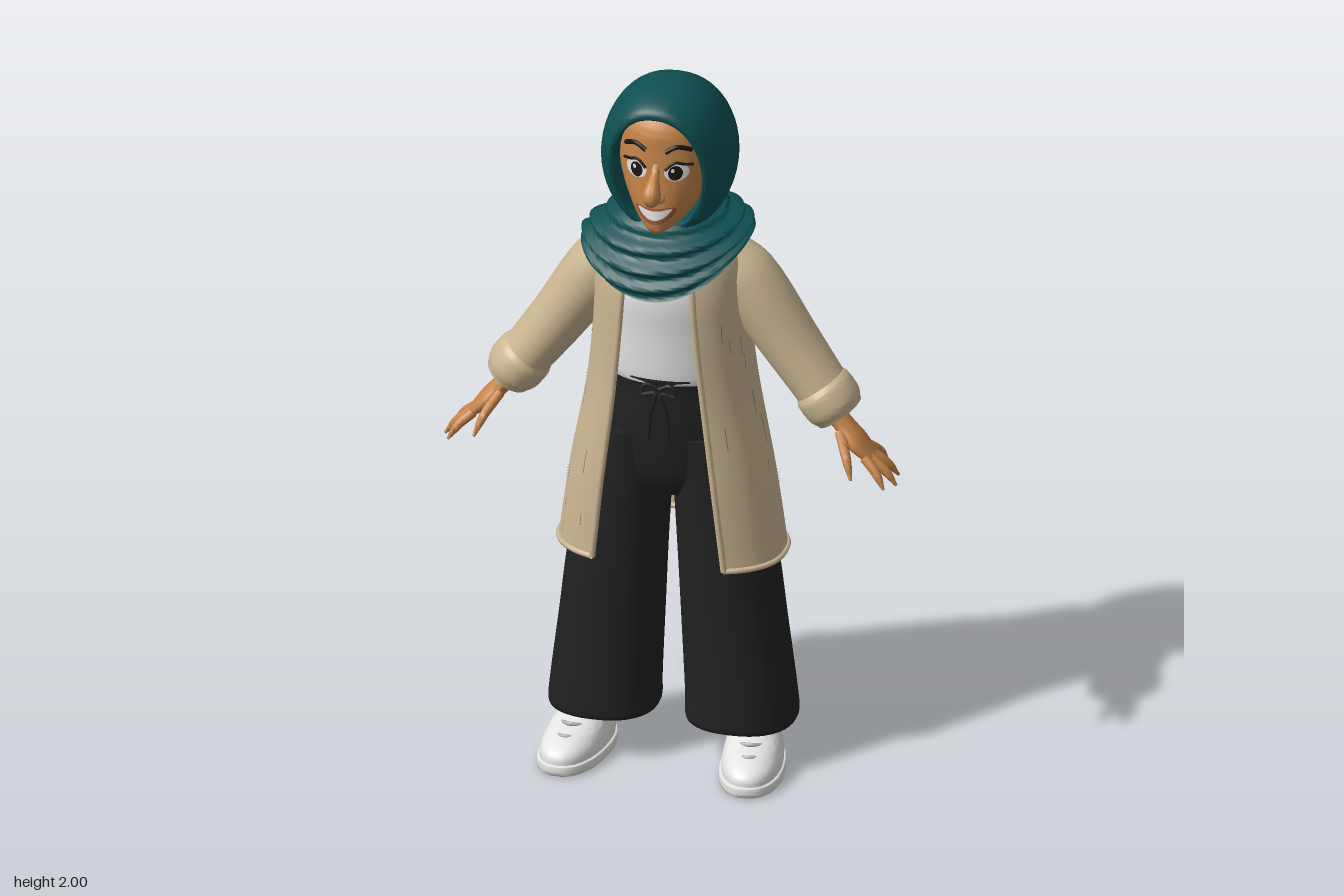
import * as THREE from 'three';
import { toCreasedNormals, mergeGeometries } from 'three/addons/utils/BufferGeometryUtils.js';

const V = (x, y, z) => new THREE.Vector3(x, y, z);
const mat = (name, color, side = THREE.FrontSide) => {
  const m = new THREE.MeshStandardMaterial({ color, side });
  m.name = name;
  return m;
};

// Skin a list of rings, ordered bottom to top.
function loft(rings, { closed = true, cap = true, crease = 0.9 } = {}) {
  const n = rings[0].length, pos = [], idx = [];
  rings.forEach(r => r.forEach(p => pos.push(p.x, p.y, p.z)));
  for (let i = 0; i < rings.length - 1; i++)
    for (let j = 0; j < (closed ? n : n - 1); j++) {
      const a = i * n + j, b = i * n + (j + 1) % n;
      idx.push(a, b, a + n, b, b + n, a + n);
    }
  if (closed && cap) [0, rings.length - 1].forEach((i, top) => {
    const c = rings[i].reduce((s, p) => s.add(p), V(0, 0, 0)).divideScalar(n);
    const k = pos.length / 3;
    pos.push(c.x, c.y, c.z);
    for (let j = 0; j < n; j++) {
      const a = i * n + j, b = i * n + (j + 1) % n;
      top ? idx.push(k, a, b) : idx.push(k, b, a);
    }
  });
  const g = new THREE.BufferGeometry();
  g.setAttribute('position', new THREE.Float32BufferAttribute(pos, 3));
  g.setIndex(idx);
  return toCreasedNormals(g, crease);
}

// Smoothly resample the rows of a small profile table.
function dense(table, steps = 5) {
  const out = [];
  for (let i = 0; i < table.length - 1; i++) {
    const [p, q, r, s] = [-1, 0, 1, 2].map(k => table[Math.min(Math.max(i + k, 0), table.length - 1)]);
    for (let k = 0; k < steps; k++) {
      const t = k / steps;
      out.push(q.map((_, c) => q[c] + 0.5 * t * (r[c] - p[c] + t * (2 * p[c] - 5 * q[c] + 4 * r[c] - s[c]
        + t * (3 * (q[c] - r[c]) + s[c] - p[c])))));
    }
  }
  return [...out, table[table.length - 1]];
}
// Row of a table at height y (first column).
function rowAt(table, y) {
  let i = 0;
  while (i < table.length - 2 && table[i + 1][0] < y) i++;
  const t = THREE.MathUtils.clamp((y - table[i][0]) / (table[i + 1][0] - table[i][0]), 0, 1);
  return table[i].map((v, c) => v + (table[i + 1][c] - v) * t);
}

const pw = (v, e) => Math.sign(v) * Math.abs(v) ** e;
const oval = (a, y, cx, cz, rx, rz, e = 1) => V(cx + rx * pw(Math.sin(a), e), y, cz + rz * pw(Math.cos(a), e));
const loop = (n, f) => Array.from({ length: n }, (_, j) => f(j / n * Math.PI * 2));
// Rows: y, centre x, centre z, half width, half depth
const body = (table, e = 1, n = 40) => loft(dense(table).map(r => loop(n, a => oval(a, ...r, e))));

// Tapered limb along points; radii rows are [along z, across].
function sweep(points, radii, n = 16, steps = 5) {
  const curve = new THREE.CatmullRomCurve3(points), table = dense(radii, steps);
  return loft(table.map(([rs, rn], i) => {
    const u = i / (table.length - 1), c = curve.getPoint(u), t = curve.getTangent(u);
    const across = t.clone().cross(V(0, 0, 1)).normalize(), side = across.clone().cross(t);
    return loop(n, a => c.clone().addScaledVector(side, rs * Math.cos(a)).addScaledVector(across, rn * Math.sin(a)));
  }));
}
const tube = (pts, r) => new THREE.TubeGeometry(new THREE.CatmullRomCurve3(pts), 24, r, 8);

// Face rows: y, half width, front z
const FACE = dense([[1.6, 0.012, 0.12], [1.61, 0.04, 0.158], [1.64, 0.072, 0.168], [1.69, 0.1, 0.163],
  [1.76, 0.122, 0.155], [1.84, 0.126, 0.15], [1.9, 0.115, 0.142], [1.96, 0.06, 0.1]], 6);
const FACE_Z = 0.03;
const faceZ = (x, y) => {
  const [, w, f] = rowAt(FACE, y);
  return FACE_Z + (f - FACE_Z) * Math.sqrt(Math.max(0, 1 - (x / w) ** 2));
};
// Thin painted oval that follows the face; bend curves it like a smile.
function patch(cx, cy, rx, ry, lift, bend = 0) {
  const g = new THREE.RingGeometry(0.001, 1, 28, 5), p = g.attributes.position;
  for (let i = 0; i < p.count; i++) {
    const u = p.getX(i), x = cx + u * rx, y = cy + p.getY(i) * ry + bend * u * u;
    p.setXYZ(i, x, y, faceZ(x, y) + lift);
  }
  g.computeVertexNormals();
  return g;
}
const faceLine = (pts, r) => tube(pts.map(([x, y]) => V(x, y, faceZ(x, y) + 0.002)), r);

// Coat rows: y, half width, centre z, half depth, half opening
const COAT = dense([[0.62, 0.305, -0.035, 0.185, 0.18], [0.85, 0.272, -0.03, 0.185, 0.155],
  [1.1, 0.226, -0.03, 0.18, 0.125], [1.3, 0.205, -0.02, 0.172, 0.105], [1.42, 0.2, -0.015, 0.163, 0.096],
  [1.5, 0.185, -0.012, 0.14, 0.09], [1.57, 0.12, -0.015, 0.1, 0.08]]);
const coatPoint = (y, a, grow = 1) => {
  const [, rx, cz, rz] = rowAt(COAT, y);
  return oval(a, y, 0, cz, rx * grow, rz * grow, 0.82);
};
const coatEdge = y => {
  const [, rx, , , open] = rowAt(COAT, y);
  return Math.asin((open / rx) ** (1 / 0.82));
};

export function createModel() {
  const root = new THREE.Group();
  root.name = 'woman';
  const teal = mat('teal cloth', 0x0d4f52), beige = mat('beige wool', 0xcbb692, THREE.DoubleSide);
  const black = mat('black cloth', 0x212122), white = mat('white', 0xe2e2e0), skin = mat('skin', 0xc58448);
  const grey = mat('light grey', 0xb4b4b2), dark = mat('dark hair and eyes', 0x1c1512);
  const streak = mat('wool streaks', 0x86755b), lip = mat('lips', 0x9c5a3c);
  const add = (name, geo, material) => {
    const m = new THREE.Mesh(geo, material);
    m.name = name;
    root.add(m);
    return m;
  };

  // Face
  add('head', loft(FACE.map(([y, w, f]) => loop(40, a => oval(a, y, 0, FACE_Z, w, f - FACE_Z)))), skin);
  add('nose', sweep([V(0, 1.815, 0.14), V(0, 1.775, 0.16), V(0, 1.735, 0.19), V(0, 1.712, 0.172)],
    [[0.008, 0.01], [0.018, 0.013], [0.032, 0.025], [0.012, 0.018]]), skin);
  add('lips', patch(0, 1.664, 0.056, 0.023, 0.003, 0.018), lip);
  add('teeth', patch(0, 1.668, 0.046, 0.013, 0.006, 0.017), white);
  for (const s of [-1, 1]) {
    add('eyeWhite', patch(s * 0.055, 1.79, 0.031, 0.025, 0.003), white);
    add('iris', patch(s * 0.053, 1.789, 0.018, 0.021, 0.005), dark);
    add('eyeGlint', patch(s * 0.053 - 0.006, 1.797, 0.005, 0.006, 0.007), white);
    add('eyelash', faceLine([[s * 0.026, 1.797], [s * 0.05, 1.817], [s * 0.075, 1.811], [s * 0.094, 1.806]], 0.004), dark);
    add('eyebrow', faceLine([[s * 0.026, 1.848], [s * 0.055, 1.862], [s * 0.09, 1.85]], 0.0065), dark);
    add('nostrilWing', new THREE.SphereGeometry(0.014, 12, 10).translate(s * 0.018, 1.722, 0.174), skin);
  }

  // Hood: z, half width, height above centre, height below centre
  const hood = dense([[-0.192, 0.005, 0.005, 0.005], [-0.183, 0.065, 0.08, 0.08], [-0.15, 0.125, 0.15, 0.15],
    [-0.08, 0.168, 0.2, 0.2], [0, 0.179, 0.222, 0.215], [0.07, 0.17, 0.22, 0.21], [0.12, 0.145, 0.2, 0.2],
    [0.135, 0.128, 0.178, 0.187], [0.122, 0.119, 0.166, 0.177], [0.05, 0.117, 0.165, 0.17]]);
  add('hood', loft(hood.map(([z, rx, up, down]) => loop(48, a => {
    const dy = Math.sin(a) * (Math.sin(a) > 0 ? up : down);
    return V(rx * pw(Math.cos(a), 0.9), 1.778 + dy, z + dy * 0.2 * Math.max(0, z / 0.13));
  })), { cap: false, crease: 1.6 }), teal);

  // Draped scarf with folds, dipping in front and falling to a point behind
  const drape = [];
  for (let i = 0; i <= 48; i++) {
    const v = 1 - i / 48, swell = Math.sin(Math.min(1, v * 1.5) * Math.PI / 2);
    drape.push(loop(64, a => {
      const c = Math.cos(a), back = Math.max(0, -c);
      const tip = Math.max(0, Math.cos(a - Math.PI - 0.38));
      const hem = 1.525 - 0.115 * Math.max(0, c) ** 1.3 - 0.235 * tip ** 2.2 + 0.02 * Math.sin(a);
      const fold = 0.011 * Math.sin(v * Math.PI * 8 + 0.9 * Math.sin(a + 0.6)) * Math.min(1, v * 5);
      const tuck = v > 0.97 ? 0.9 : 1;
      const rx = (0.135 + 0.085 * swell + (Math.sin(a) < 0 ? 0.012 : -0.008) + fold) * tuck;
      const rz = (c > 0 ? 0.125 + 0.075 * swell + fold : 0.155 + 0.032 * swell + fold) * tuck;
      return V(rx * Math.sin(a), 1.615 + 0.03 * back + (hem - 1.615 - 0.03 * back) * v, -0.02 + rz * c);
    }));
  }
  add('scarf', loft(drape, { crease: 1.4 }), teal);

  // Shirt and trousers
  add('shirt', body([[1.13, 0, -0.03, 0.175, 0.138], [1.16, 0, -0.03, 0.185, 0.148], [1.28, 0, -0.025, 0.18, 0.146],
    [1.4, 0, -0.02, 0.175, 0.145], [1.5, 0, -0.02, 0.14, 0.11], [1.6, 0, -0.02, 0.07, 0.07]]), white);
  add('trouserHips', body([[0.8, 0, -0.035, 0.14, 0.11], [0.87, 0, -0.035, 0.195, 0.14], [1.0, 0, -0.03, 0.195, 0.145],
    [1.12, 0, -0.03, 0.182, 0.142], [1.155, 0, -0.03, 0.18, 0.148], [1.165, 0, -0.03, 0.178, 0.14]]), black);
  for (const s of [-1, 1]) {
    add('trouserLeg', body([[0.125, s * 0.187, -0.04, 0.135, 0.13], [0.13, s * 0.187, -0.04, 0.148, 0.142],
      [0.2, s * 0.184, -0.04, 0.146, 0.142], [0.4, s * 0.167, -0.038, 0.138, 0.138], [0.62, s * 0.148, -0.035, 0.129, 0.137],
      [0.85, s * 0.118, -0.035, 0.112, 0.138], [0.98, s * 0.095, -0.03, 0.1, 0.135]], 0.85), black);
    add('drawstring', tube([V(0, 1.13, 0.118), V(s * 0.035, 1.145, 0.122), V(s * 0.045, 1.115, 0.124),
      V(s * 0.008, 1.122, 0.126), V(s * 0.022, 1.06, 0.124), V(s * 0.028, 0.98, 0.122)], 0.006), black);
  }

  // Open coat with thick edges
  const N = 56;
  add('coat', loft(COAT.map(([y]) => {
    const e = coatEdge(y);
    return Array.from({ length: N + 1 }, (_, j) => coatPoint(y, e + (2 * Math.PI - 2 * e) * j / N));
  }), { closed: false }), beige);
  for (const s of [-1, 1])
    add('coatFrontEdge', tube(COAT.map(([y]) => coatPoint(y, s * coatEdge(y))), 0.009), beige);
  const e0 = coatEdge(0.62);
  add('coatHem', new THREE.TubeGeometry(new THREE.CatmullRomCurve3(Array.from({ length: 33 }, (_, j) =>
    coatPoint(0.62, e0 + (2 * Math.PI - 2 * e0) * j / 32))), 96, 0.008, 8), beige);

  // Fine dark streaks in the wool
  let seed = 7;
  const rand = () => (seed = (seed * 16807) % 2147483647) / 2147483647;
  const dashes = [];
  for (let i = 0; i < 70; i++) {
    const y = 0.65 + rand() * 0.65, a = 0.75 + rand() * 4.8, len = 0.02 + rand() * 0.05;
    dashes.push(loft([y, y + len].map(h => [a, a + 0.012].map(b => coatPoint(h, b, 1.012))), { closed: false }));
  }
  add('coatStreaks', mergeGeometries(dashes), streak);

  for (const s of [-1, 1]) {
    // Sleeve and rolled cuff
    add('sleeve', sweep([V(s * 0.12, 1.485, -0.04), V(s * 0.19, 1.41, -0.05), V(s * 0.325, 1.215, -0.055), V(s * 0.425, 1.08, -0.045)],
      [[0.075, 0.065], [0.094, 0.088], [0.088, 0.077], [0.08, 0.07]], 28), beige);
    add('cuff', sweep([V(s * 0.39, 1.127, -0.045), V(s * 0.405, 1.107, -0.045), V(s * 0.435, 1.067, -0.045), V(s * 0.452, 1.043, -0.045)],
      [[0.075, 0.064], [0.089, 0.078], [0.089, 0.078], [0.076, 0.066]], 28), beige);

    // Hand with fanned fingers
    add('palm', sweep([V(s * 0.42, 1.07, -0.035), V(s * 0.465, 1.02, -0.03), V(s * 0.505, 0.975, -0.025), V(s * 0.545, 0.935, -0.025)],
      [[0.034, 0.027], [0.036, 0.025], [0.05, 0.024], [0.042, 0.014]], 20), skin);
    const fingers = [[0.535, 0.945, 0.012, 0.595, 0.875, 0.047], [0.54, 0.94, -0.012, 0.616, 0.865, -0.008],
      [0.54, 0.94, -0.038, 0.606, 0.866, -0.07], [0.525, 0.95, -0.06, 0.562, 0.887, -0.118],
      [0.465, 1.005, 0.0, 0.515, 0.91, 0.084]];
    fingers.forEach(([x, y, z, x2, y2, z2], i) => {
      const mid = V(s * (x + x2 + 0.008) / 2, (y + y2 + 0.008) / 2, (z + z2) / 2 + (i === 4 ? 0.01 : 0));
      add(i === 4 ? 'thumb' : 'finger', sweep([V(s * x, y, z), mid, V(s * x2, y2, z2)],
        [[0.016, 0.014], [0.0145, 0.0135], [0.012, 0.011], [0.004, 0.004]], 10), skin);
    });

    // Ankle and shoe, toe turned slightly out
    add('ankle', new THREE.CylinderGeometry(0.045, 0.045, 0.14, 20).translate(s * 0.225, 0.15, -0.045), skin);
    const shoe = new THREE.Group();
    shoe.name = 'shoe';
    shoe.position.set(s * 0.232, 0, 0);
    shoe.rotation.y = s * 0.14;
    root.add(shoe);
    const part = (name, geo, m) => shoe.add(add(name, geo, m));
    part('sole', body([[0, 0, 0.052, 0.08, 0.158], [0.006, 0, 0.052, 0.086, 0.165], [0.028, 0, 0.052, 0.086, 0.165],
      [0.032, 0, 0.052, 0.08, 0.16]], 0.85), white);
    part('upper', body([[0.02, 0, 0.052, 0.08, 0.16], [0.055, 0, 0.047, 0.08, 0.158], [0.085, 0, 0.022, 0.073, 0.133],
      [0.11, 0, -0.012, 0.064, 0.098], [0.14, 0, -0.04, 0.056, 0.068], [0.15, 0, -0.045, 0.05, 0.06]], 0.88), white);
    for (let i = 0; i < 3; i++) {
      const y = 0.088 + i * 0.018, z = 0.145 - i * 0.04;
      part('lace', tube([V(-0.045, y - 0.012, z - 0.03), V(0, y, z), V(0.045, y - 0.012, z - 0.03)], 0.006), grey);
    }
  }
  return root;
}
